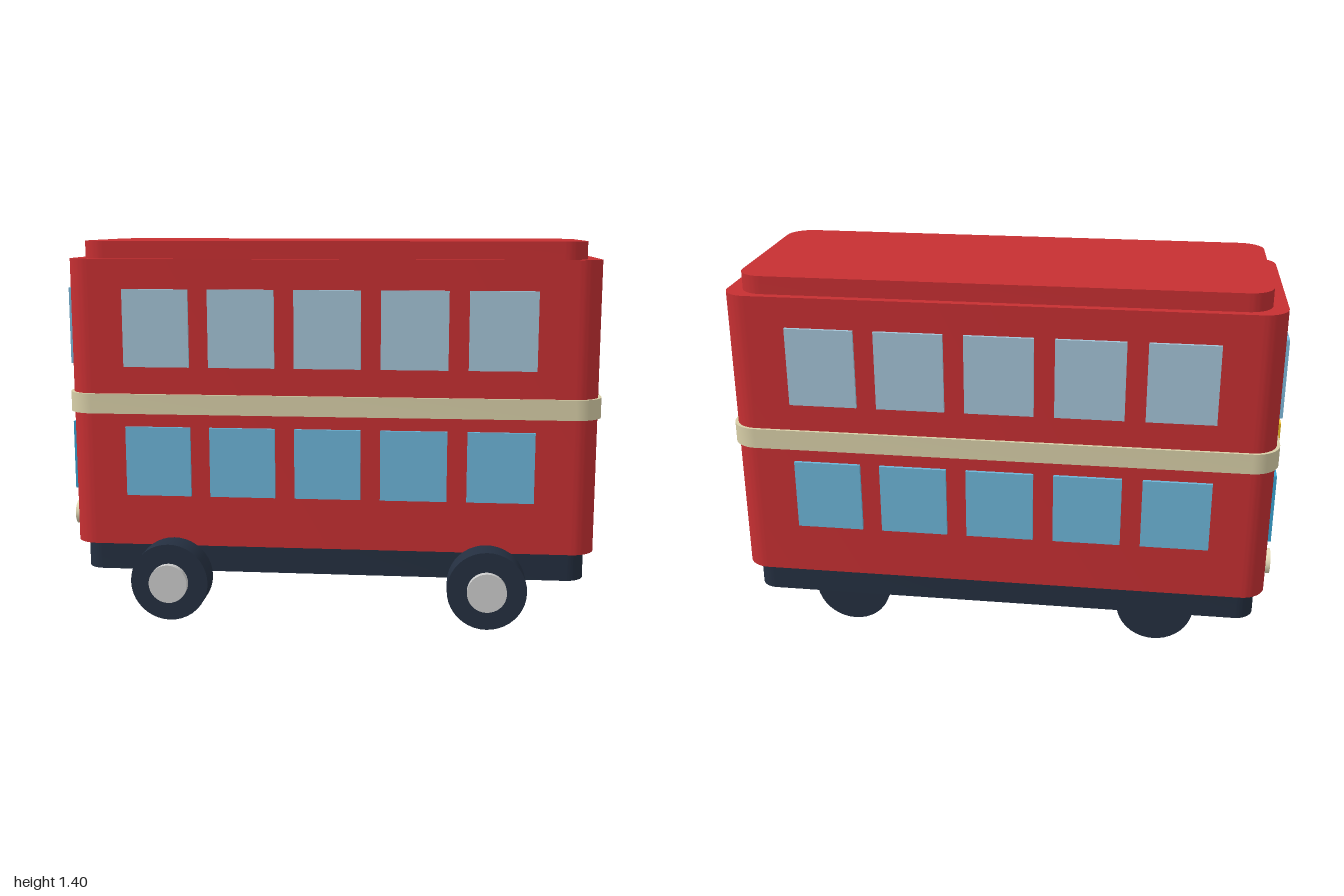
import * as THREE from 'three';
import { toCreasedNormals } from 'three/addons/utils/BufferGeometryUtils.js';

const material = (name, color) => {
  const m = new THREE.MeshStandardMaterial({ color });
  m.name = name;
  return m;
};

export function createModel() {
  const red = material('red paint', 0xc62f32);
  const navy = material('dark navy', 0x242f40);
  const cream = material('cream', 0xd8cfa8);
  const paleGlass = material('pale glass', 0xa3c3d6);
  const blueGlass = material('blue glass', 0x6db5d8);
  const upperScreenGlass = material('upper windscreen glass', 0x7cb8da);
  const lowerScreenGlass = material('lower windscreen glass', 0x38a2d0);
  const yellow = material('sign yellow', 0xe8b923);
  const metal = material('metal', 0xcccccc);
  const lamp = material('lamp', 0xeee5c0);

  const bus = new THREE.Group();
  bus.name = 'bus';
  const midZ = -0.064;

  const add = (name, geometry, mat, x, y, z, parent = bus) => {
    const mesh = new THREE.Mesh(geometry, mat);
    mesh.name = name;
    mesh.position.set(x, y, z);
    parent.add(mesh);
    return mesh;
  };

  // Upright slab with rounded vertical corners, from y0 to y1
  const slab = (name, mat, hx, hz, r, y0, y1) => {
    const s = new THREE.Shape();
    s.moveTo(-hx + r, -hz);
    s.absarc(hx - r, -hz + r, r, -Math.PI / 2, 0);
    s.absarc(hx - r, hz - r, r, 0, Math.PI / 2);
    s.absarc(-hx + r, hz - r, r, Math.PI / 2, Math.PI);
    s.absarc(-hx + r, -hz + r, r, Math.PI, Math.PI * 1.5);
    const g = new THREE.ExtrudeGeometry(s, { depth: y1 - y0, bevelEnabled: false, curveSegments: 10 });
    g.rotateX(-Math.PI / 2);
    add(name, toCreasedNormals(g, 0.6), mat, 0, y0, midZ);
  };

  slab('chassis', navy, 0.952, 0.347, 0.07, 0.145, 0.258);
  slab('body', red, 0.985, 0.383, 0.09, 0.255, 1.335);
  slab('waistBand', cream, 0.997, 0.394, 0.1, 0.76, 0.835);
  slab('roofCap', red, 0.933, 0.353, 0.09, 1.33, 1.4);

  // Two rows of five windows along both long sides
  const rows = [
    ['upperWindow', paleGlass, 1.081, 0.288],
    ['lowerWindow', blueGlass, 0.58, 0.262],
  ];
  for (const [name, mat, y, height] of rows) {
    const pane = new THREE.BoxGeometry(0.246, height, 0.016);
    for (const side of [-1, 1]) {
      for (let i = 0; i < 5; i++) {
        add(name, pane, mat, -0.644 + 0.319 * i, y, midZ + side * 0.387);
      }
    }
  }

  // Driving end, facing -x
  const plate = (name, mat, y, height, width, outX) =>
    add(name, new THREE.BoxGeometry(0.022, height, width), mat, outX + 0.011, y, midZ);
  plate('upperWindscreen', upperScreenGlass, 1.081, 0.288, 0.6, -0.996);
  plate('lowerWindscreen', lowerScreenGlass, 0.582, 0.262, 0.6, -0.996);
  plate('routeSign', yellow, 0.838, 0.085, 0.42, -1.003);
  plate('grille', metal, 0.357, 0.115, 0.31, -0.998);

  const lampGeometry = new THREE.CylinderGeometry(0.046, 0.046, 0.025, 24).rotateZ(Math.PI / 2);
  for (const side of [-1, 1]) {
    add('headlight', lampGeometry, lamp, -0.99, 0.345, midZ + side * 0.252);
  }

  // Wheels, all with the hub on the +z side
  const tyre = new THREE.CylinderGeometry(0.145, 0.145, 0.103, 40).rotateX(Math.PI / 2);
  const hub = new THREE.CylinderGeometry(0.072, 0.072, 0.03, 32).rotateX(Math.PI / 2);
  for (const x of [-0.587, 0.587]) {
    for (const z of [0.388, -0.309]) {
      const wheel = new THREE.Group();
      wheel.name = 'wheel';
      wheel.position.set(x, 0.145, z);
      add('tyre', tyre, navy, 0, 0, 0, wheel);
      add('hub', hub, metal, 0, 0, 0.061, wheel);
      bus.add(wheel);
    }
  }

  return bus;
}
